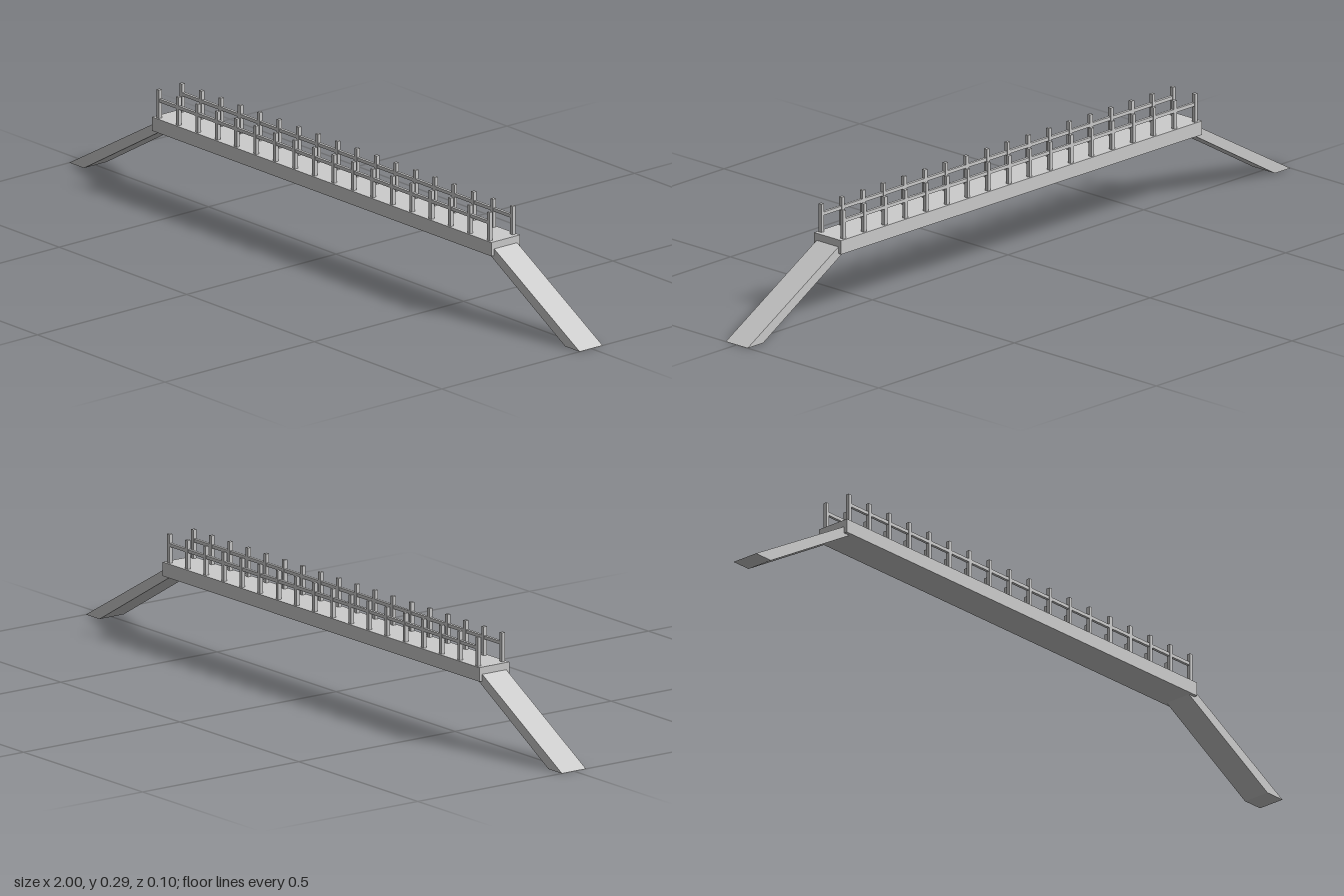
import * as THREE from 'three';

export function createModel() {
  const model = new THREE.Group();
  const material = new THREE.MeshStandardMaterial({ color: 0xcccccc, flatShading: true });

  const add = (name, geometry, x = 0, y = 0, z = 0) => {
    const mesh = new THREE.Mesh(geometry, material);
    mesh.name = name;
    mesh.position.set(x, y, z);
    model.add(mesh);
    return mesh;
  };

  // Long flat walkway
  add('deck', new THREE.BoxGeometry(1.33, 0.037, 0.096), 0, 0.1915, 0);

  // Sloping ramps, tucked into the deck ends and cut level with the ground
  const rampWidth = 0.077;
  for (const side of [1, -1]) {
    const outline = [[1, 0], [0.665, 0.191], [0.645, 0.191], [0.645, 0.173], [0.943, 0]];
    const shape = new THREE.Shape(outline.map(([x, y]) => new THREE.Vector2(side * x, y)));
    const ramp = new THREE.ExtrudeGeometry(shape, { depth: rampWidth, bevelEnabled: false });
    add(side > 0 ? 'leftRamp' : 'rightRamp', ramp, 0, 0, -rampWidth / 2);
  }

  // Railings: evenly spaced square posts with one thin rail through them
  const postCount = 18;
  const railReach = 0.648;
  for (const side of [1, -1]) {
    const label = side > 0 ? 'front' : 'back';
    const z = side * 0.0385;
    add(label + 'Rail', new THREE.BoxGeometry(railReach * 2, 0.009, 0.008), 0, 0.258, z);
    for (let i = 0; i < postCount; i++) {
      const x = -railReach + (2 * railReach * i) / (postCount - 1);
      add(label + 'Post', new THREE.BoxGeometry(0.01, 0.077, 0.01), x, 0.2475, z);
    }
  }

  return model;
}
